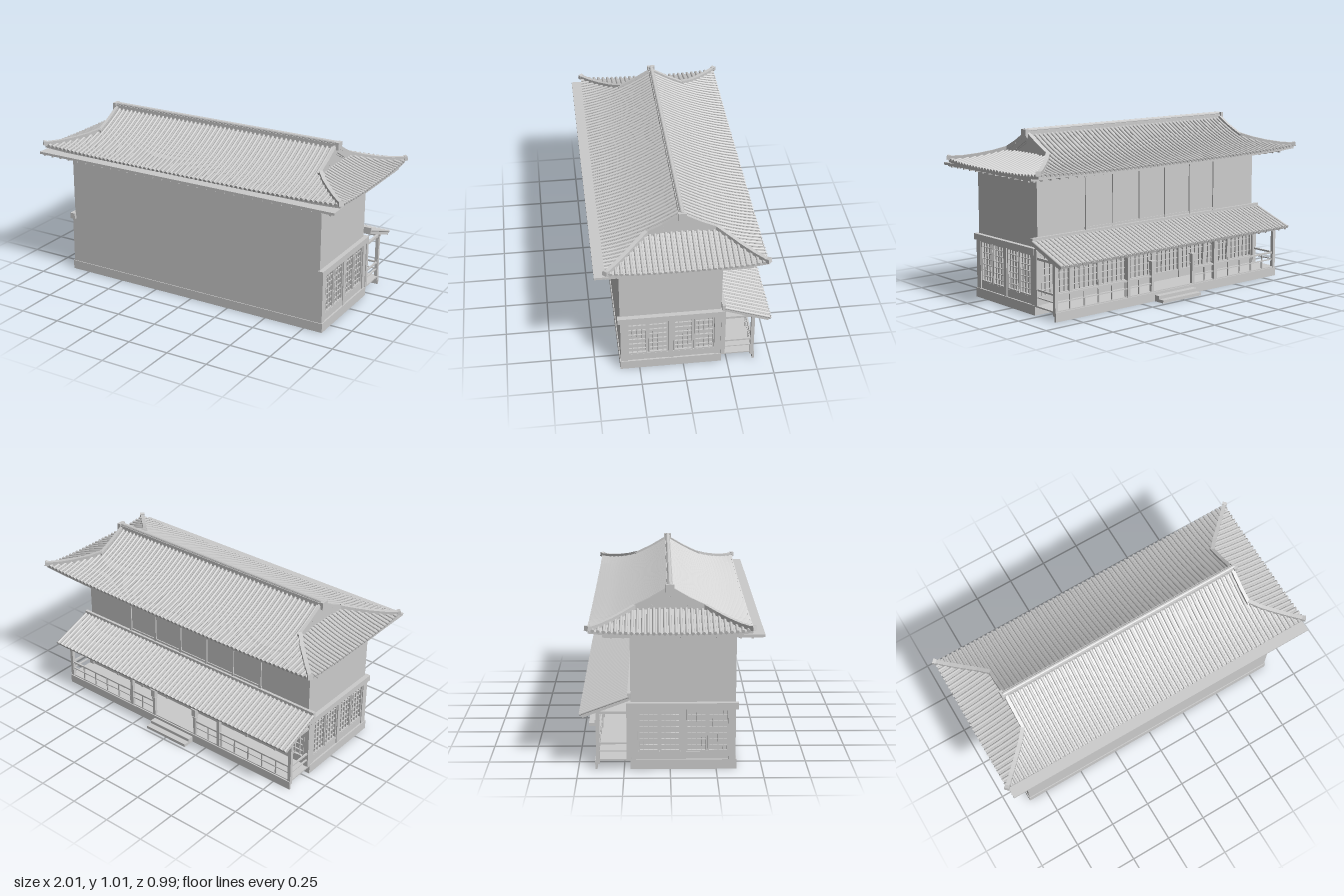
import * as THREE from 'three';
import { mergeGeometries } from 'three/addons/utils/BufferGeometryUtils.js';
import { ParametricGeometry } from 'three/addons/geometries/ParametricGeometry.js';

const mat = new THREE.MeshStandardMaterial({ color: 0xcccccc, flatShading: true });
const thin = new THREE.MeshStandardMaterial({ color: 0xcccccc, side: THREE.DoubleSide });
const V = (x, y, z) => new THREE.Vector3(x, y, z);

// Box given by its min and max on each axis
function box(x0, x1, y0, y1, z0, z1) {
  return new THREE.BoxGeometry(x1 - x0, y1 - y0, z1 - z0)
    .translate((x0 + x1) / 2, (y0 + y1) / 2, (z0 + z1) / 2);
}

// Straight bar of width w and height h between two points
function bar(a, b, w, h) {
  const o = new THREE.Object3D();
  o.position.copy(a).lerp(b, 0.5);
  o.lookAt(b);
  o.updateMatrix();
  return new THREE.BoxGeometry(w, h, a.distanceTo(b)).applyMatrix4(o.matrix);
}

// Round tile row along points, with an end disc at the eave
function tileRow(pts, r) {
  const n = pts.length;
  const curve = n > 2 ? new THREE.CatmullRomCurve3(pts) : new THREE.LineCurve3(pts[0], pts[1]);
  const tube = new THREE.TubeGeometry(curve, n > 2 ? 6 : 1, r, 8);
  const dir = pts[n - 1].clone().sub(pts[n - 2]).normalize();
  const cap = new THREE.CylinderGeometry(r * 1.15, r * 1.15, 0.008, 8);
  cap.applyQuaternion(new THREE.Quaternion().setFromUnitVectors(V(0, 1, 0), dir));
  cap.translate(...pts[n - 1].toArray());
  return [tube, cap];
}

// Main roof: d runs from the ridge (0) to the eave (EAVE); hips start at BREAK
const GABLE = 0.745, BREAK = 0.2, EAVE = 0.43, RATE = 0.24 / 0.23, PITCH = 0.029;
const halfWidth = d => GABLE + Math.max(0, d - BREAK) * RATE;
const roofY = (x, z, d) => 0.975 - 0.64 * d + 0.5 * d * d
  + 0.018 * Math.pow(Math.abs(x * z) / (0.985 * EAVE), 3);

// Rectangular lattice screen, standing on the xy plane and facing +z
function lattice(w, h, nx, ny) {
  const f = 0.008, t = 0.0035, g = [];
  for (const s of [-1, 1]) {
    g.push(box(s * (w - f) / 2 - f / 2, s * (w - f) / 2 + f / 2, 0, h, 0, 0.014));
    const y = s < 0 ? 0 : h - f;
    g.push(box(-w / 2, w / 2, y, y + f, 0, 0.014));
  }
  for (let i = 1; i < nx; i++) {
    const x = -w / 2 + w * i / nx;
    g.push(box(x - t / 2, x + t / 2, 0, h, 0, 0.009));
  }
  for (let i = 1; i < ny; i++) g.push(box(-w / 2, w / 2, h * i / ny - t / 2, h * i / ny + t / 2, 0, 0.009));
  return mergeGeometries(g);
}

export function createModel() {
  const root = new THREE.Group();
  const add = (name, geos, m = mat) => {
    const mesh = new THREE.Mesh(mergeGeometries([geos].flat(Infinity)), m);
    mesh.name = name;
    root.add(mesh);
  };

  // Body and plinth
  add('walls', box(-0.84, 0.84, 0.03, 0.79, -0.215, 0.355));
  add('plinth', box(-0.865, 0.865, 0, 0.055, -0.217, 0.36));

  // Roof decks and eave edges
  const decks = [], tiles = [], hips = [], gables = [];
  for (const s of [-1, 1]) {
    decks.push(new ParametricGeometry((u, v, p) => {
      const d = v * EAVE, x = (2 * u - 1) * halfWidth(d);
      p.set(x, roofY(x, d, d), s * d);
    }, 24, 13));
    decks.push(new ParametricGeometry((u, v, p) => {
      const d = BREAK + v * (EAVE - BREAK), x = s * halfWidth(d), z = (2 * u - 1) * d;
      p.set(x, roofY(x, z, d), z);
    }, 16, 7));
    decks.push(new ParametricGeometry((u, v, p) => {
      const x = (2 * u - 1) * halfWidth(EAVE);
      p.set(x, roofY(x, EAVE, EAVE) - 0.014 * v, s * EAVE);
    }, 24, 1));
    decks.push(new ParametricGeometry((u, v, p) => {
      const x = s * halfWidth(EAVE), z = (2 * u - 1) * EAVE;
      p.set(x, roofY(x, z, EAVE) - 0.014 * v, z);
    }, 16, 1));

    // Tile rows on the long slopes
    const n = Math.floor(halfWidth(EAVE) / PITCH);
    for (let i = -n; i <= n; i++) {
      const x = i * PITCH, start = Math.max(0, BREAK + (Math.abs(x) - GABLE) / RATE);
      const d0 = Math.abs(x) > GABLE ? start : 0, pts = [];
      for (let k = 0; k <= 4; k++) {
        const d = d0 + (EAVE - d0) * k / 4;
        pts.push(V(x, roofY(x, d, d) + 0.003, s * d));
      }
      tiles.push(tileRow(pts, 0.0085));
    }
    // Tile rows on the end slopes
    for (let i = -14; i <= 14; i++) {
      const z = i * PITCH, d0 = Math.max(BREAK, Math.abs(z)), pts = [];
      for (let k = 0; k <= 3; k++) {
        const d = d0 + (EAVE - d0) * k / 3, x = s * halfWidth(d);
        pts.push(V(x, roofY(x, z, d) + 0.003, z));
      }
      tiles.push(tileRow(pts, 0.0085));
    }

    // Hip ridges, gable edge ridges and bargeboards
    for (const q of [-1, 1]) {
      const at = (d, dy, x = s * halfWidth(d)) => V(x, roofY(x, d, d) + dy, q * d);
      for (let k = 0; k < 4; k++) {
        const a = BREAK - 0.01 + k * 0.06, b = a + 0.063;
        hips.push(bar(at(a, 0.01), at(b, 0.01), 0.022, 0.024));
      }
      hips.push(bar(at(0.425, 0.012), at(0.438, 0.016), 0.028, 0.026));
      for (const [a, b] of [[0, 0.1], [0.1, 0.205]]) {
        hips.push(bar(at(a, 0.008, s * 0.745), at(b, 0.008, s * 0.745), 0.02, 0.022));
        gables.push(bar(at(a, -0.016, s * 0.748), at(b, -0.016, s * 0.748), 0.012, 0.03));
      }
      gables.push(bar(V(s * 0.742, 0.935, 0), V(s * 0.742, 0.865, q * 0.13), 0.008, 0.008));
    }
    // Gable wall
    const tri = new THREE.Shape([new THREE.Vector2(-0.2, 0.862), new THREE.Vector2(0.2, 0.862), new THREE.Vector2(0, 0.97)]);
    const wall = new THREE.ExtrudeGeometry(tri, { depth: 0.01, bevelEnabled: false });
    const flat = wall.rotateY(Math.PI / 2).translate(s * 0.735 - 0.005, 0, 0);
    add('gableWall', flat);
  }
  add('roofDeck', decks, thin);
  add('roofTiles', tiles, thin);
  add('hipRidges', hips);
  add('bargeboards', gables);

  // Main ridge
  const cap = new THREE.CylinderGeometry(0.012, 0.012, 1.52, 10).rotateZ(Math.PI / 2).translate(0, 0.998, 0);
  add('ridge', [box(-0.755, 0.755, 0.955, 0.995, -0.016, 0.016), cap,
    box(-0.77, -0.75, 0.962, 1.006, -0.023, 0.023), box(0.75, 0.77, 0.962, 1.006, -0.023, 0.023)]);

  // Soffit board and rafters below the eaves
  add('soffit', box(-0.98, 0.98, 0.775, 0.789, -0.355, 0.493));
  const rafters = [];
  for (let i = -16; i <= 16; i++) {
    const x = i * 0.0595;
    rafters.push(box(x - 0.006, x + 0.006, 0.765, 0.776, 0.35, 0.485), box(x - 0.006, x + 0.006, 0.765, 0.776, -0.348, -0.21));
  }
  for (let i = 0; i < 13; i++) {
    const z = -0.31 + i * 0.0615;
    for (const s of [-1, 1]) rafters.push(bar(V(s * 0.83, 0.77, z), V(s * 0.97, 0.77, z), 0.011, 0.011));
  }
  add('rafters', rafters);

  // Side screens with posts and rails, both ends
  const screens = [], frame = [];
  for (const s of [-1, 1]) {
    for (const z of [0.26, 0.1425, 0, -0.1175]) {
      screens.push(lattice(0.112, 0.24, 4, 7).rotateY(s * Math.PI / 2).translate(s * 0.84, 0.098, z));
    }
    const side = (y0, y1, z0, z1, t) => frame.push(box(s > 0 ? 0.835 : -t, s > 0 ? t : -0.835, y0, y1, z0, z1));
    side(0.055, 0.345, 0.316, 0.355, 0.86);
    side(0.055, 0.345, 0.058, 0.085, 0.86);
    side(0.055, 0.345, -0.215, -0.176, 0.86);
    side(0.055, 0.098, -0.215, 0.355, 0.855);
    side(0.34, 0.376, -0.215, 0.37, 0.867);
    side(0.055, 0.376, -0.237, -0.212, 0.865);
  }
  // Sliding screens on the veranda wall
  for (let i = 0; i < 8; i++) {
    const x = (i - 3.5) * 0.208;
    screens.push(lattice(0.2, 0.235, 6, 6).rotateY(Math.PI).translate(x, 0.1, -0.215));
    if (i) frame.push(box(x - 0.111, x - 0.097, 0.055, 0.345, -0.232, -0.213));
  }
  frame.push(box(-0.84, 0.84, 0.055, 0.1, -0.227, -0.213), box(-0.86, 0.86, 0.338, 0.376, -0.237, -0.21));
  add('latticeScreens', screens);
  add('screenFrames', frame);

  // Upper windows
  const windows = [box(-0.51, 0.51, 0.735, 0.75, -0.221, -0.21), box(-0.51, 0.51, 0.44, 0.452, -0.221, -0.21)];
  for (let i = 0; i <= 5; i++) windows.push(box(-0.507 + i * 0.2, -0.493 + i * 0.2, 0.43, 0.77, -0.223, -0.21));
  add('upperWindows', windows);

  // Veranda roof with tiles and rafters
  const top = x => V(x, 0.412, -0.225), low = x => V(x, 0.316, -0.485);
  const slab = bar(top(0), low(0), 1.77, 0.012);
  const rows = [], supports = [];
  for (let i = -30; i <= 30; i++) {
    const x = i * 0.0293, up = V(0, 0.006, 0);
    rows.push(tileRow([top(x).add(up), low(x).add(up)], 0.0085));
    if (i % 2 === 0) supports.push(bar(top(x).add(V(0, -0.011, 0)), low(x).add(V(0, -0.009, 0.01)), 0.01, 0.011));
  }
  add('verandaRoof', [slab, box(-0.885, 0.885, 0.4, 0.437, -0.231, -0.212)]);
  add('verandaTiles', rows, thin);
  add('verandaRafters', supports);

  // Veranda floor, posts, beams and railings
  const porch = [box(-0.865, 0.865, 0.05, 0.058, -0.4, -0.21), box(-0.865, 0.865, 0, 0.052, -0.408, -0.396),
    box(-0.87, 0.87, 0.318, 0.336, -0.402, -0.384)];
  const rails = [], lanterns = [];
  for (const s of [-1, 1]) {
    for (const x of [0.855, 0.34]) porch.push(box(s * x - 0.01, s * x + 0.01, 0.03, 0.335, -0.403, -0.383));
    porch.push(bar(V(s * 0.855, 0.323, -0.23), V(s * 0.855, 0.323, -0.39), 0.014, 0.014));
    for (const [y, h] of [[0.147, 0.01], [0.104, 0.006]]) {
      rails.push(bar(V(s * 0.16, y, -0.393), V(s * 0.855, y, -0.393), 0.01, h));
      rails.push(bar(V(s * 0.855, y, -0.235), V(s * 0.855, y, -0.393), 0.01, h));
    }
    for (let i = 1; i < 7; i++) {
      const x = s * (0.16 + i * 0.0993);
      rails.push(box(x - 0.004, x + 0.004, 0.055, 0.15, -0.397, -0.389));
    }
    // Newel post with a box lantern beside the steps
    const x = s * 0.16;
    rails.push(box(x - 0.009, x + 0.009, 0.05, 0.19, -0.402, -0.384));
    lanterns.push(box(x - 0.014, x + 0.014, 0.188, 0.235, -0.41, -0.382), box(x - 0.018, x + 0.018, 0.233, 0.239, -0.414, -0.378),
      box(x - 0.012, x + 0.012, 0.17, 0.18, -0.405, -0.381));
  }
  add('veranda', porch);
  add('railings', rails);
  add('lanterns', lanterns);

  // Steps
  add('steps', [box(-0.15, 0.15, 0, 0.037, -0.445, -0.4), box(-0.15, 0.15, 0, 0.018, -0.48, -0.4)]);
  return root;
}
